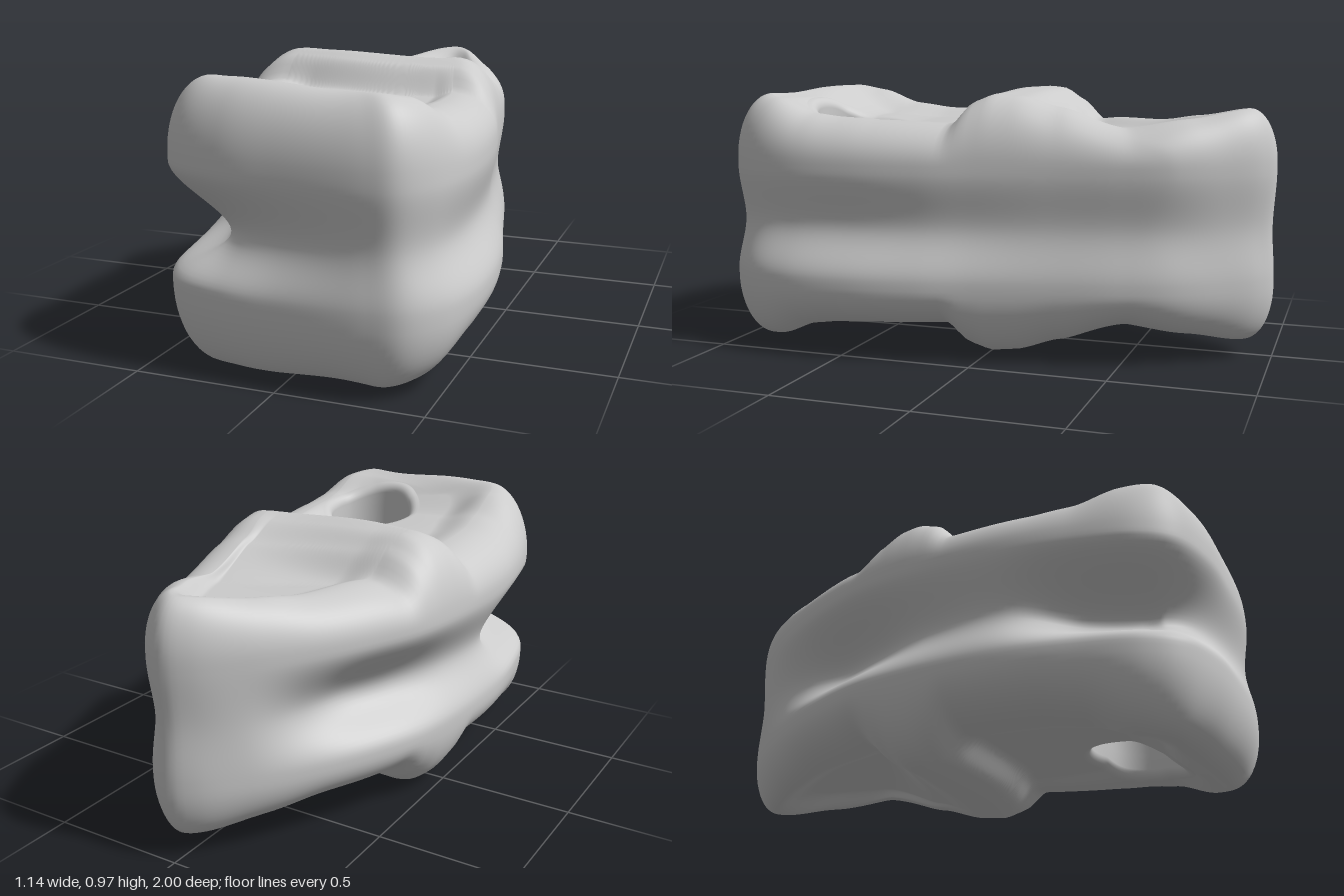
import * as THREE from 'three';

const { smoothstep, lerp } = THREE.MathUtils;
const MID = 0.49, LOBE = 0.71;          // mid height, height of the widest bulge
const HOLE = { x: 0.155, z: 0.57, r: 0.165, lip: 0.04 };

// Plan outline, from the tip round the +x side: x, groove depth, z
const OUTLINE = [
  [0.02, 0.01, -1], [0.1, 0.02, -0.96], [0.2, 0.02, -0.84], [0.3, 0.03, -0.68], [0.36, 0.03, -0.5],
  [0.42, 0.03, -0.25], [0.48, 0.04, 0], [0.53, 0.05, 0.2], [0.565, 0.06, 0.45], [0.56, 0.055, 0.7],
  [0.51, 0.04, 0.87], [0.42, 0.03, 0.97], [0.3, 0.03, 0.995], [0, 0.06, 0.99], [-0.2, 0.11, 0.97],
  [-0.39, 0.18, 0.9], [-0.48, 0.22, 0.78], [-0.54, 0.2, 0.55], [-0.57, 0.08, 0.3], [-0.56, 0.09, 0],
  [-0.52, 0.14, -0.25], [-0.44, 0.14, -0.45], [-0.33, 0.07, -0.65], [-0.2, 0.01, -0.83], [-0.07, 0.01, -0.96],
];

// Heights of the top along z: at the rim, and in the middle (back scoop, ridge, front basin)
const RIM = [[-1, 0.9], [-0.9, 0.91], [-0.7, 0.875], [-0.5, 0.845], [-0.3, 0.925], [-0.1, 0.97], [0, 0.975],
  [0.07, 0.95], [0.15, 0.87], [0.4, 0.88], [0.55, 0.9], [0.7, 0.955], [0.8, 0.975], [1, 0.96]];
const FLOOR = [[-1, 0.9], [-0.89, 0.885], [-0.81, 0.835], [-0.5, 0.815], [-0.3, 0.91], [-0.1, 0.965],
  [0, 0.975], [0.07, 0.95], [0.15, 0.85], [0.4, 0.845], [0.6, 0.86], [0.82, 0.955], [1, 0.96]];

// Eased interpolation in a table of [z, height]
function sample(table, z) {
  let i = 0;
  while (i < table.length - 2 && z > table[i + 1][0]) i++;
  const [z0, h0] = table[i], [z1, h1] = table[i + 1];
  const t = THREE.MathUtils.clamp((z - z0) / (z1 - z0), 0, 1);
  return lerp(h0, h1, lerp(t, smoothstep(t, 0, 1), 0.5));
}

// Height of the top at a point that lies `inward` from the rim
function topHeight(x, z, inward) {
  // The scoop edge runs diagonally, the ridge is bowed, the front rim is narrower on the +x side
  const scoopSlant = 0.4 * Math.min(0, x - 0.3) * (1 - smoothstep(z, -0.3, -0.05)) * smoothstep(z, -0.6, -0.3);
  const bow = 0.35 * x * x * smoothstep(z, -0.3, 0) * (1 - smoothstep(z, 0.15, 0.4));
  const rimSlant = -0.1 * smoothstep(x, -0.3, 0.3) * smoothstep(z, 0.4, 0.6);
  const zs = z + scoopSlant + bow;
  const tilt = 0.015 * smoothstep(x, -0.2, 0.2) * smoothstep(z, -0.6, -0.2);
  return lerp(sample(RIM, zs + rimSlant), sample(FLOOR, zs), smoothstep(inward, 0, 0.17)) - tilt;
}

// Upper half of one section, from the hole wall over the top and down to the side groove
function halfSection(p) {
  const rows = [];
  const [x, groove, z] = [p.x, p.y, p.z];
  // Inward direction: blunt at the front, pointed at the back
  const dir = z > 0
    ? new THREE.Vector2(-x * Math.abs(x) / 0.3, -0.6 * z ** 5).normalize()
    : new THREE.Vector2(0.02 - x, -0.25 * z).normalize();
  const round = 0.1 + 0.1 * smoothstep(z, -1, -0.2) - 0.05 * smoothstep(z, 0.5, 0.9);
  const rimX = x + dir.x * round, rimZ = z + dir.y * round;
  const angle = Math.atan2(rimZ - HOLE.z, rimX - HOLE.x);
  const ring = r => [HOLE.x + r * Math.cos(angle), HOLE.z + r * Math.sin(angle)];
  const [lipX, lipZ] = ring(HOLE.r + HOLE.lip);
  const span = Math.hypot(rimX - lipX, rimZ - lipZ);
  const lipY = topHeight(lipX, lipZ, span);

  // Hole wall
  for (let i = 0; i < 6; i++) {
    const [hx, hz] = ring(HOLE.r);
    rows.push([hx, lerp(MID, lipY - HOLE.lip, i / 6), hz]);
  }
  // Rounded lip of the hole
  for (let i = 0; i < 6; i++) {
    const a = (i / 6) * Math.PI / 2;
    const [hx, hz] = ring(HOLE.r + HOLE.lip * (1 - Math.cos(a)));
    rows.push([hx, lipY - HOLE.lip * (1 - Math.sin(a)), hz]);
  }
  // Top
  for (let i = 0; i < 60; i++) {
    const t = i / 60, tx = lerp(lipX, rimX, t), tz = lerp(lipZ, rimZ, t);
    rows.push([tx, topHeight(tx, tz, span * (1 - t)), tz]);
  }
  // Rounded outer edge
  const rimY = topHeight(rimX, rimZ, 0);
  for (let i = 0; i < 14; i++) {
    const a = (1 - i / 14) * Math.PI / 2, inset = round * (1 - Math.cos(a));
    rows.push([x + dir.x * inset, LOBE + (rimY - LOBE) * Math.sin(a), z + dir.y * inset]);
  }
  // Side groove
  for (let i = 0; i <= 14; i++) {
    const inset = groove * smoothstep(i / 14, 0.1, 1);
    rows.push([x + dir.x * inset, lerp(LOBE, MID, i / 14), z + dir.y * inset, inset]);
  }
  return rows;
}

function bodyGeometry() {
  const curve = new THREE.CatmullRomCurve3(OUTLINE.map(p => new THREE.Vector3(...p)), true);
  const around = 240, positions = [], index = [];
  let rows = 0;
  for (let i = 0; i < around; i++) {
    const upper = halfSection(curve.getPointAt(i / around));
    // Mirror the half section; the two ends are shared
    const lower = upper.slice(1, -1).reverse().map(([x, y, z, d]) => [x, 2 * MID - y, z, d]);
    const section = [...upper, ...lower];
    rows = section.length;
    for (const [x, y, z, inset = 0] of section) {
      const lean = 0.15 * Math.max(0, x - 0.3) * smoothstep(y, 0.3, 0.75);
      positions.push(x - lean, y - 0.18 * inset, z);
    }
  }
  for (let i = 0; i < around; i++) {
    for (let j = 0; j < rows; j++) {
      const i1 = (i + 1) % around, j1 = (j + 1) % rows;
      const a = i * rows + j, b = i1 * rows + j, c = i1 * rows + j1, d = i * rows + j1;
      index.push(a, b, c, a, c, d);
    }
  }
  const geometry = new THREE.BufferGeometry();
  geometry.setAttribute('position', new THREE.Float32BufferAttribute(positions, 3));
  geometry.setIndex(index);
  geometry.computeVertexNormals();
  return geometry;
}

export function createModel() {
  const group = new THREE.Group();
  group.name = 'piercedStone';
  const body = new THREE.Mesh(bodyGeometry(), new THREE.MeshStandardMaterial({ color: 0xcccccc }));
  body.name = 'body';
  group.add(body);
  return group;
}
